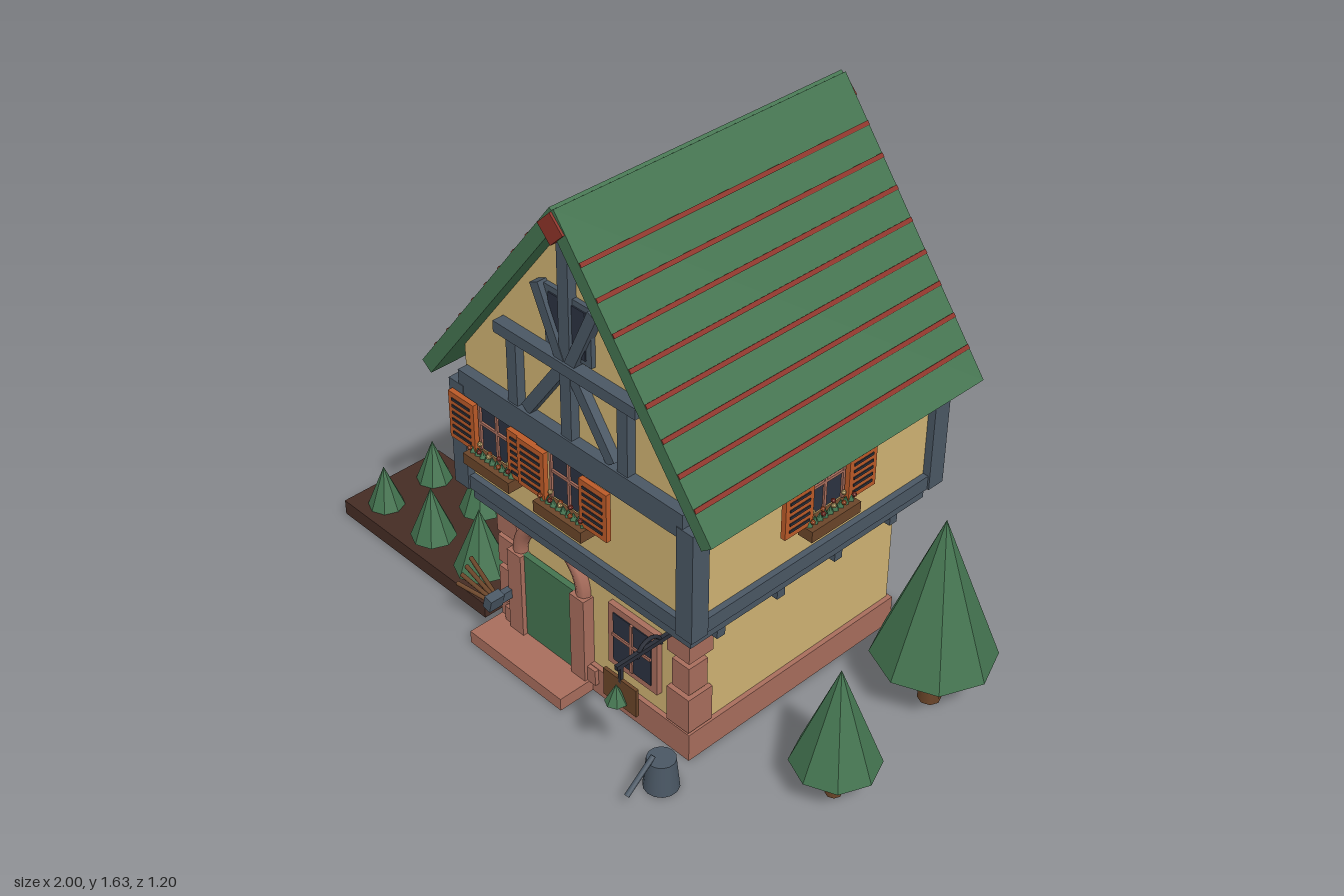
import * as THREE from 'three';

const mat = (name, color) => {
  const m = new THREE.MeshStandardMaterial({ color });
  m.name = name;
  return m;
};

export function createModel() {
  const plaster = mat('plaster', 0xcfb373), green = mat('green', 0x447450), slate = mat('slate', 0x4a5764),
    brick = mat('brick', 0xa86d5c), wood = mat('wood', 0x6a4529), soil = mat('soil', 0x452c24),
    orange = mat('orange', 0xbb5a28), glass = mat('glass', 0x2b3241), red = mat('red', 0x8e3429),
    iron = mat('iron', 0x2a2e38);
  // cones are faceted like the rest of the low-poly set
  const add = (parent, name, geo, m, x = 0, y = 0, z = 0) => {
    const mesh = new THREE.Mesh(geo, m);
    mesh.name = name;
    mesh.position.set(x, y, z);
    parent.add(mesh);
    return mesh;
  };
  const box = (p, name, m, w, h, d, x, y, z) => add(p, name, new THREE.BoxGeometry(w, h, d), m, x, y, z);
  // box given by its x and y limits
  const slab = (p, name, m, x0, x1, y0, y1, d, z) =>
    box(p, name, m, x1 - x0, y1 - y0, d, (x0 + x1) / 2, (y0 + y1) / 2, z);
  // beam lying in the xy plane between two points
  const beam = (p, name, m, x0, y0, x1, y1, w, d, z) => {
    const b = box(p, name, m, Math.hypot(x1 - x0, y1 - y0), w, d, (x0 + x1) / 2, (y0 + y1) / 2, z);
    b.rotation.z = Math.atan2(y1 - y0, x1 - x0);
    return b;
  };
  // round rod between two 3D points
  const rod = (p, name, m, a, b, r) => {
    const A = new THREE.Vector3(...a), B = new THREE.Vector3(...b), d = B.clone().sub(A);
    const mesh = add(p, name, new THREE.CylinderGeometry(r, r, d.length(), 8), m, 0, 0, 0);
    mesh.position.copy(A).add(B).multiplyScalar(0.5);
    mesh.quaternion.setFromUnitVectors(new THREE.Vector3(0, 1, 0), d.normalize());
    return mesh;
  };
  const group = (p, name, x = 0, y = 0, z = 0, ry = 0) => {
    const g = new THREE.Group();
    g.name = name;
    g.position.set(x, y, z);
    g.rotation.y = ry;
    p.add(g);
    return g;
  };
  const facet = (g) => {
    const f = g.toNonIndexed();
    f.computeVertexNormals();
    return f;
  };

  const model = new THREE.Group();
  model.name = 'cottage';
  const house = group(model, 'house', 0.125, 0, -0.065);

  // Ground floor
  box(house, 'plinth', brick, 0.785, 0.095, 0.834, 0, 0.0475, 0);
  box(house, 'lowerWalls', plaster, 0.755, 0.39, 0.81, 0, 0.285, -0.003);
  for (const s of [-1, 1]) {
    [[0.105, 0.225], [0.245, 0.34], [0.357, 0.45]].forEach(([y0, y1], i) => {
      const w = i === 1 ? 0.065 : 0.085;
      box(house, 'cornerStone', brick, w, y1 - y0, w + 0.005, s * (0.392 - w / 2), (y0 + y1) / 2, 0.417 - w / 2);
    });
  }

  // Jetty beam and joist ends
  box(house, 'jettyBeam', slate, 0.875, 0.06, 0.922, 0, 0.5, 0);
  for (const s of [-1, 1]) for (let i = 0; i < 4; i++)
    box(house, 'joistEnd', slate, 0.06, 0.032, 0.03, s * 0.405, 0.456, 0.345 - i * 0.228);

  // Upper floor
  const HX = 0.475, HZ = 0.495;
  box(house, 'upperWalls', plaster, 0.9, 0.36, 0.94, 0, 0.7, 0);
  for (const sx of [-1, 1]) for (const sz of [-1, 1])
    slab(house, 'cornerPost', slate, sx * (HX - 0.03) - 0.03, sx * (HX - 0.03) + 0.03, 0.53, 0.885, 0.06, sz * (HZ - 0.03));
  for (const s of [-1, 1]) {
    box(house, 'sideSill', slate, 0.06, 0.046, 0.93, s * 0.439, 0.553, 0);
    box(house, 'sideTopBeam', slate, 0.06, 0.034, 0.93, s * 0.439, 0.867, 0);
    box(house, 'endSill', slate, 0.89, 0.046, 0.06, 0, 0.553, s * 0.459);
  }

  // Window with louvred shutters and a flower box; the wall lies at z = 0
  const addWindow = (p, x, y, z, lift = 0) => {
    const w = group(p, 'window', x, y, z);
    box(w, 'pane', glass, 0.16, 0.155, 0.02, 0, 0, 0.005);
    box(w, 'mullion', brick, 0.009, 0.155, 0.008, 0, 0, 0.017);
    box(w, 'transom', brick, 0.15, 0.009, 0.008, 0, 0.012, 0.017);
    for (const s of [-1, 1]) {
      box(w, 'frameSide', brick, 0.008, 0.155, 0.01, s * 0.07, 0, 0.017);
      box(w, 'shutter', orange, 0.106, 0.155, 0.016, s * 0.122, 0, 0.034 + lift);
      for (let i = 0; i < 6; i++)
        box(w, 'louvreGap', iron, 0.076, 0.008, 0.004, s * 0.122, -0.056 + i * 0.0225, 0.043 + lift);
    }
    box(w, 'flowerBox', wood, 0.19, 0.036, 0.05, 0, -0.099, 0.04);
    for (let i = 0; i < 9; i++) {
      const fx = -0.08 + i * 0.02, h = (i * 5) % 3 * 0.006;
      add(w, 'leaves', new THREE.ConeGeometry(0.012, 0.028, 5), green, fx, -0.07, 0.04);
      add(w, 'flower', new THREE.IcosahedronGeometry(0.008, 0), [orange, plaster, red][i % 3], fx, -0.062 + h, 0.052 - (i % 2) * 0.02);
    }
  };
  const WY = 0.78;
  const front = group(house, 'frontFace'), back = group(house, 'backFace', 0, 0, 0, Math.PI);
  addWindow(front, -0.285, WY, 0.47);
  addWindow(front, 0.005, WY, 0.47, 0.004);
  addWindow(back, 0, WY, 0.47);
  for (const s of [-1, 1]) addWindow(group(house, 'sideFace', 0, 0, 0, s * Math.PI / 2), 0, WY, 0.45);

  // Gable walls
  const gable = new THREE.Shape([[-0.44, 0.86], [0.44, 0.86], [0.44, 1.0], [0, 1.572], [-0.44, 1.0]]
    .map(([x, y]) => new THREE.Vector2(x, y)));
  add(house, 'gableWalls', new THREE.ExtrudeGeometry(gable, { depth: 0.92, bevelEnabled: false }), plaster, 0, 0, -0.46);

  // Gable timbers, same on both ends
  for (const f of [front, back]) {
    const z = 0.468;
    slab(f, 'gableBeam', slate, -0.435, 0.435, 0.85, 0.93, 0.05, z);
    slab(f, 'collarBeam', slate, -0.27, 0.27, 1.135, 1.17, 0.05, z + 0.004);
    slab(f, 'kingPost', slate, -0.02, 0.02, 0.93, 1.56, 0.04, z);
    slab(f, 'gableWindowFrame', slate, -0.087, 0.087, 1.185, 1.362, 0.02, z - 0.004);
    slab(f, 'gablePane', glass, -0.068, 0.068, 1.2, 1.345, 0.008, z + 0.006);
    for (const s of [-1, 1]) {
      slab(f, 'gablePost', slate, s * 0.212 - 0.019, s * 0.212 + 0.019, 0.93, 1.135, 0.04, z);
      beam(f, 'lowerBrace', slate, s * 0.01, 1.15, s * 0.165, 0.935, 0.036, 0.036, z);
      beam(f, 'upperBrace', slate, s * 0.01, 1.15, s * 0.108, 1.36, 0.034, 0.044, z);
    }
  }

  // Roof: two crossing slabs with tile lines and a diamond ridge
  const a = 0.917, ca = Math.cos(a), sa = Math.sin(a), T = 0.044, L = 0.908;
  for (const s of [-1, 1]) {
    const side = group(house, 'roofSide', s * 0.56, 0.91, 0);
    side.rotation.z = s < 0 ? a : -a;
    box(side, 'roofSlab', green, L, T, 1.036, -s * L / 2, -T / 2, -0.002);
    for (let i = 0; i < 8; i++) {
      const d = (0.99 + i * 0.0747 - 0.91) / sa;
      box(side, 'tileLine', red, 0.013, 0.006, 1.034, -s * d, 0, -0.002);
    }
  }
  const ridge = box(house, 'ridge', red, 0.066, 0.066, 1.05, 0, 1.575, -0.002);
  ridge.rotation.z = Math.PI / 4;

  // Doorway
  const door = group(model, 'doorway', -0.042, 0, 0.34);
  slab(door, 'step', brick, -0.225, 0.17, 0, 0.042, 0.15, 0.06);
  slab(door, 'doorPanel', green, -0.11, 0.11, 0.04, 0.335, 0.02, 0.01);
  for (const s of [-1, 1]) {
    slab(door, 'jamb', brick, s * 0.133 - 0.029, s * 0.133 + 0.029, 0.04, 0.335, 0.06, 0.005);
    slab(door, 'jambFoot', brick, s * 0.15 - 0.045, s * 0.15 + 0.045, 0.04, 0.093, 0.04, 0.005);
  }
  add(door, 'arch', new THREE.TorusGeometry(0.133, 0.024, 8, 20, Math.PI), brick, 0, 0.335, 0.005);

  // Ground-floor window
  const low = group(model, 'lowerWindow', 0.297, 0.27, 0.34);
  box(low, 'frame', brick, 0.195, 0.215, 0.03, 0, 0, 0);
  box(low, 'pane', glass, 0.15, 0.17, 0.008, 0, 0, 0.014);
  box(low, 'mullion', brick, 0.01, 0.17, 0.009, 0, 0, 0.018);
  box(low, 'transom', brick, 0.15, 0.01, 0.009, 0, 0.01, 0.018);

  // Hanging sign
  const sign = group(model, 'hangingSign', 0.465, 0, 0);
  box(sign, 'arm', iron, 0.012, 0.014, 0.22, 0, 0.448, 0.46);
  const scroll = add(sign, 'scroll', new THREE.TorusGeometry(0.042, 0.006, 6, 14, Math.PI), iron, 0, 0.434, 0.45);
  scroll.rotation.y = Math.PI / 2;
  box(sign, 'hanger', iron, 0.01, 0.06, 0.01, 0, 0.42, 0.553);
  box(sign, 'board', wood, 0.125, 0.092, 0.01, 0, 0.355, 0.553);
  add(sign, 'treeEmblem', facet(new THREE.ConeGeometry(0.032, 0.06, 7)), green, 0, 0.362, 0.57);
  rod(sign, 'emblemTrunk', wood, [0, 0.315, 0.57], [0, 0.335, 0.57], 0.008);

  // Watering can
  const can = group(model, 'wateringCan', 0.528, 0, 0.466);
  add(can, 'canBody', new THREE.CylinderGeometry(0.042, 0.052, 0.1, 14), slate, 0, 0.05, 0);
  rod(can, 'spout', slate, [0, 0.045, 0.128], [0, 0.127, 0.03], 0.008);

  // Bundle of sticks held by a bracket beside the door
  const bundle = group(model, 'stickBundle');
  for (let i = 0; i < 4; i++)
    rod(bundle, 'stick', wood, [-0.2, 0.178, 0.42 + i * 0.008], [-0.36 + i * 0.015, 0.212 - i * 0.005, 0.385 + i * 0.03], 0.007);
  const band = box(bundle, 'band', slate, 0.03, 0.045, 0.05, -0.2, 0.178, 0.435);
  band.rotation.z = -0.25;
  box(bundle, 'bracket', slate, 0.022, 0.03, 0.07, -0.2, 0.175, 0.385);

  // Conifers: foliage from y0 to y1
  const tree = (p, x, z, r, y0, y1, ground) => {
    const t = group(p, 'conifer', x, 0, z);
    add(t, 'foliage', facet(new THREE.ConeGeometry(r, y1 - y0, 8)), green, 0, (y0 + y1) / 2, 0);
    const h = y0 + 0.01 - ground;
    add(t, 'trunk', new THREE.CylinderGeometry(r * 0.17, r * 0.19, h, 8), wood, 0, ground + h / 2, 0);
  };
  tree(model, 0.807, -0.32, 0.182, 0.172, 0.645, 0);
  tree(model, 0.87, 0.15, 0.128, 0.12, 0.445, 0);

  // Planting bed with saplings in two rows
  const bed = group(model, 'plantingBed');
  box(bed, 'bedSoil', soil, 0.68, 0.052, 0.378, -0.66, 0.026, 0.187);
  for (const z of [0.1, 0.292]) {
    tree(bed, -0.895, z, 0.058, 0.055, 0.2, 0.045);
    tree(bed, -0.66, z, 0.072, 0.07, 0.25, 0.045);
    tree(bed, -0.43, z, 0.086, 0.085, 0.3, 0.045);
  }
  return model;
}
